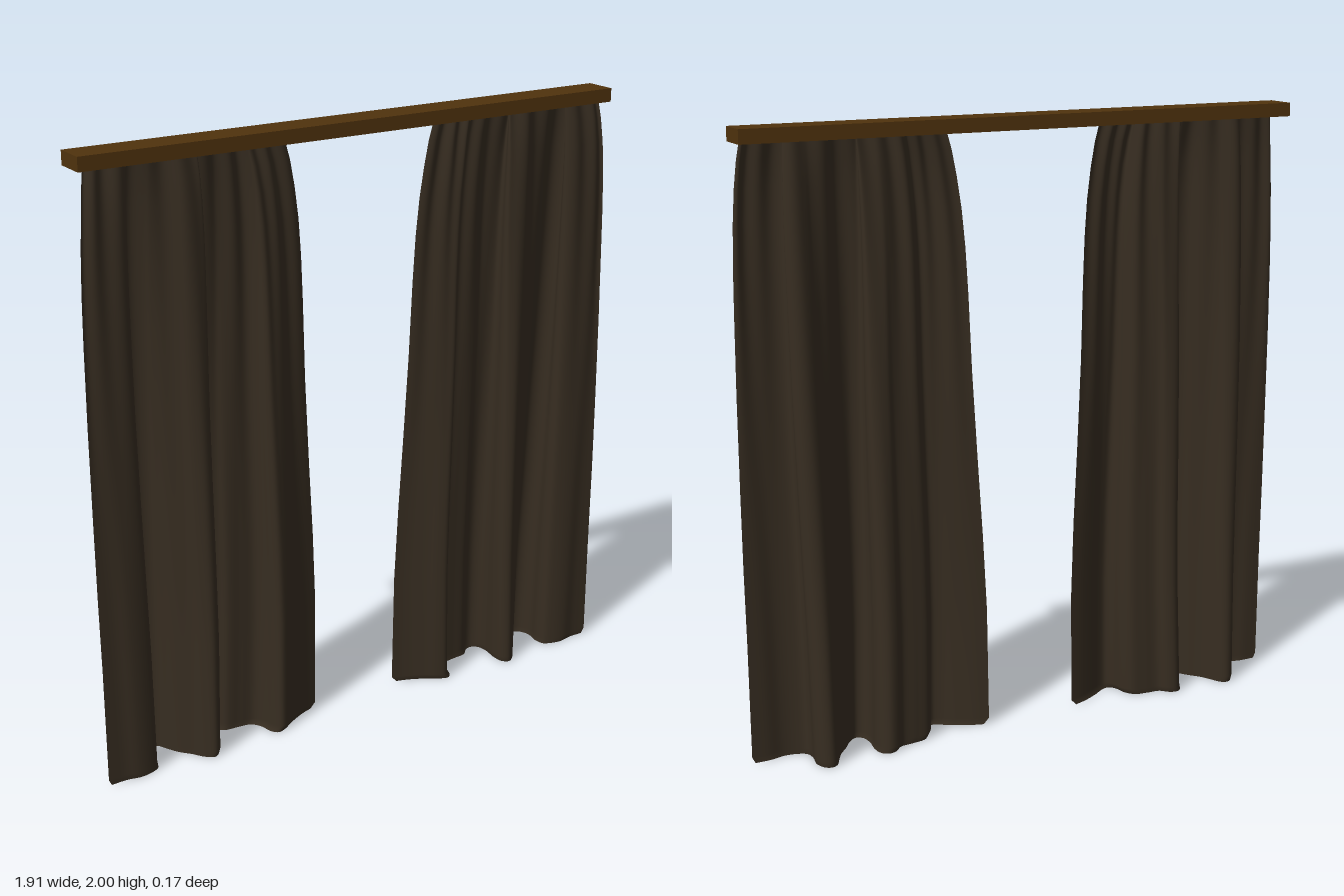
import * as THREE from 'three';

const fabric = new THREE.MeshStandardMaterial({ color: 0x372d21, side: THREE.DoubleSide });
fabric.name = 'dark brown fabric';
const wood = new THREE.MeshStandardMaterial({ color: 0x50330d });
wood.name = 'brown wood';

// Plan of the folds at the hem (x, z), from the inner edge to the outer edge
const FOLDS = [
  [0.155, -0.015], [0.2, 0.0], [0.26, 0.03], [0.3, 0.055], [0.33, 0.063], [0.35, 0.04],
  [0.36, 0.0], [0.385, -0.033], [0.43, -0.042], [0.48, -0.048], [0.507, -0.073], [0.535, -0.08],
  [0.558, -0.062], [0.565, -0.025], [0.56, 0.03], [0.567, 0.07], [0.59, 0.085], [0.618, 0.066],
  [0.645, 0.03], [0.68, -0.01], [0.703, -0.05], [0.72, -0.08], [0.74, -0.09], [0.762, -0.08],
  [0.778, -0.045], [0.772, 0.01], [0.78, 0.042], [0.81, 0.058], [0.85, 0.064], [0.9, 0.055],
  [0.955, 0.055],
];

// Drape from hem to rail: height, inner x, outer x, z offset, fold depth
const DRAPE = [
  [0.0, 0.175, 0.945, 0.002, 0.97],
  [0.02, 0.156, 0.955, 0.002, 1.0],
  [0.4, 0.157, 0.955, 0.008, 0.88],
  [0.65, 0.167, 0.957, 0.012, 0.79],
  [0.9, 0.181, 0.957, 0.015, 0.71],
  [1.2, 0.196, 0.956, 0.019, 0.59],
  [1.45, 0.204, 0.953, 0.023, 0.48],
  [1.6, 0.211, 0.95, 0.026, 0.42],
  [1.72, 0.221, 0.945, 0.029, 0.36],
  [1.82, 0.235, 0.938, 0.031, 0.3],
  [1.9, 0.25, 0.93, 0.031, 0.2],
  [1.965, 0.268, 0.92, 0.03, 0.08],
];

const COLUMNS = 180;

// One hanging cloth sheet, side = +1 or -1
function curtainGeometry(side) {
  const plan = new THREE.CatmullRomCurve3(
    FOLDS.map(([x, z]) => new THREE.Vector3(x, 0, z)), false, 'centripetal').getSpacedPoints(COLUMNS);
  const positions = [], indices = [];
  const stride = COLUMNS + 1;
  DRAPE.forEach(([y, inner, outer, offset, depth], row) => {
    plan.forEach((p, i) => {
      const u = (p.x - 0.155) / 0.8;
      // The folds hang plumb although the cloth narrows towards the rail
      const v = u + 1.2 * y * u * u * (1 - u) * (u - 0.7);
      // Small gathered pleats that appear towards the rail
      const pleat = 0.007 * Math.max(0, y - 0.8) / 1.16 * Math.sin(u * Math.PI * 18);
      positions.push(side * (inner + (outer - inner) * v), y, offset + depth * p.z + pleat);
      if (row === 0 || i === 0) return;
      const d = row * stride + i, c = d - 1, b = d - stride, a = b - 1;
      if (side > 0) indices.push(a, b, d, a, d, c);
      else indices.push(a, d, b, a, c, d);
    });
  });
  const geometry = new THREE.BufferGeometry();
  geometry.setAttribute('position', new THREE.Float32BufferAttribute(positions, 3));
  geometry.setIndex(indices);
  geometry.computeVertexNormals();
  return geometry;
}

export function createModel() {
  const group = new THREE.Group();
  group.name = 'curtains';

  // Wooden rail
  const rail = new THREE.Mesh(new THREE.BoxGeometry(1.895, 0.044, 0.108), wood);
  rail.name = 'rail';
  rail.position.set(0, 1.978, 0.012);
  group.add(rail);

  // Mirrored pair of curtains
  for (const [name, side] of [['leftCurtain', 1], ['rightCurtain', -1]]) {
    const curtain = new THREE.Mesh(curtainGeometry(side), fabric);
    curtain.name = name;
    group.add(curtain);
  }
  return group;
}
